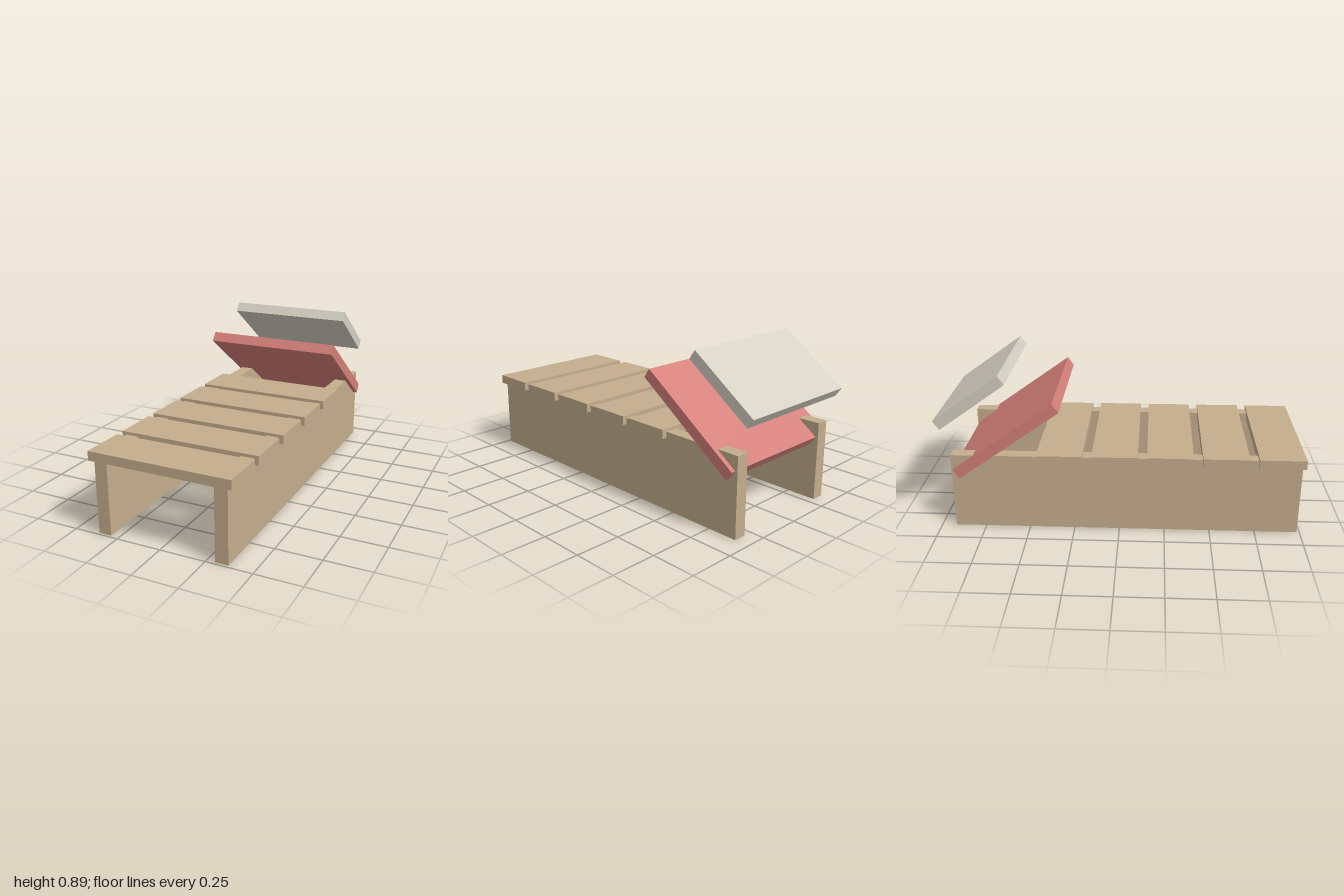
import * as THREE from 'three';

export function createModel() {
  const model = new THREE.Group();
  model.name = 'slattedLounger';

  const material = (name, color) => {
    const m = new THREE.MeshStandardMaterial({ color });
    m.name = name;
    return m;
  };
  const wood = material('wood', 0xc4ad8d);
  const coral = material('coral', 0xd37e78);
  const cream = material('cream', 0xd3cfc2);

  // Box given by size and centre, optionally tilted about x
  const box = (name, mat, [w, h, d], [x, y, z], tilt = 0) => {
    const mesh = new THREE.Mesh(new THREE.BoxGeometry(w, h, d), mat);
    mesh.name = name;
    mesh.position.set(x, y, z);
    mesh.rotation.x = tilt;
    model.add(mesh);
  };

  // Two long upright side boards
  for (const [name, side] of [['leftRail', 1], ['rightRail', -1]]) {
    box(name, wood, [0.071, 0.434, 1.905], [side * 0.331, 0.217, 0.0325]);
  }

  // Five seat slats, evenly spaced from the front
  for (let i = 0; i < 5; i++) {
    box(`slat${i + 1}`, wood, [0.785, 0.05, 0.25], [0, 0.425, 0.875 - i * 0.3]);
  }

  // Sloping backrest and the cushion floating above it
  const tilt = -0.621;
  box('backrest', coral, [0.785, 0.06, 0.682], [0, 0.528, -0.612], tilt);
  box('cushion', cream, [0.726, 0.06, 0.45], [0, 0.736, -0.799], tilt);

  return model;
}
